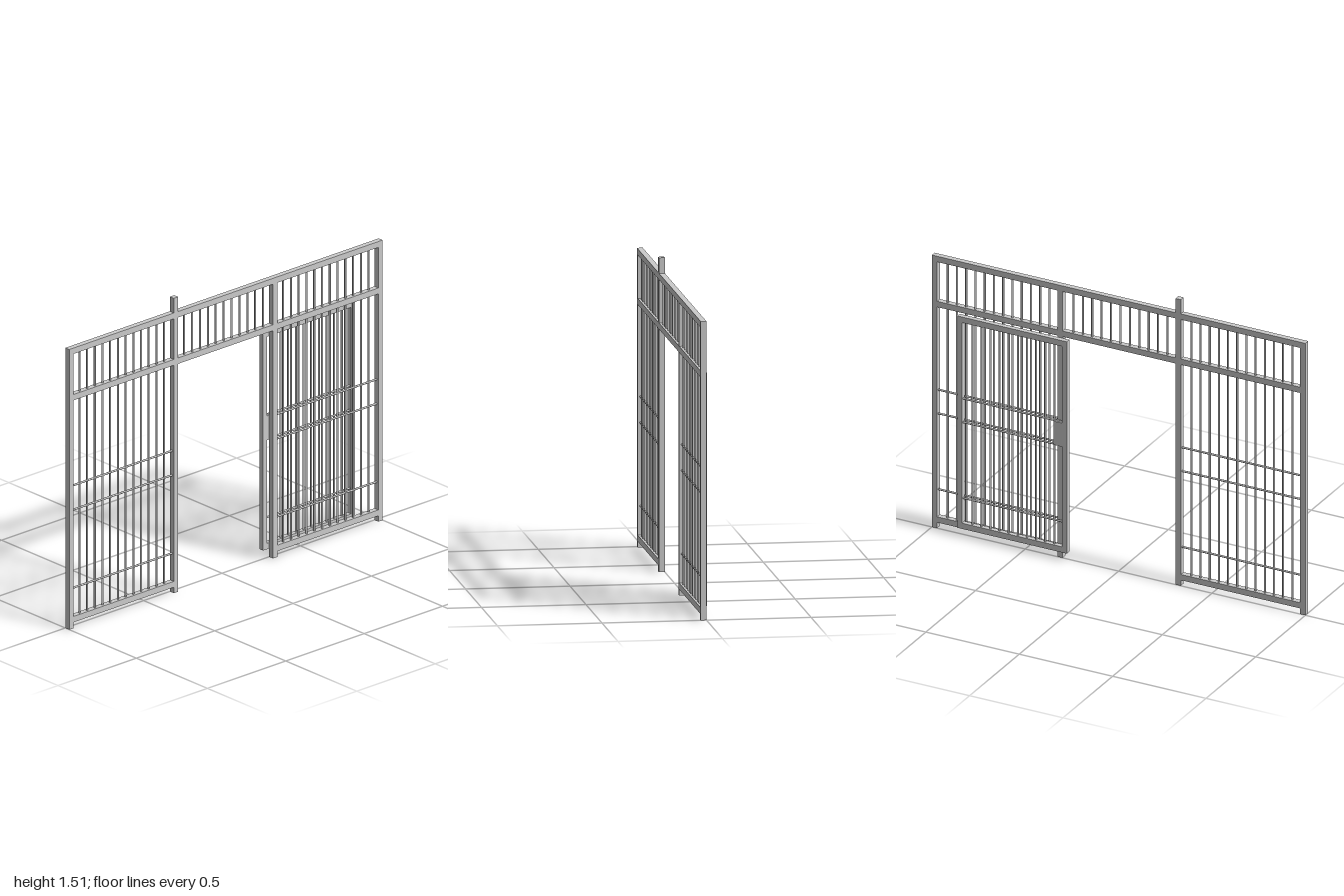
import * as THREE from 'three';

const material = new THREE.MeshStandardMaterial({ color: 0xcccccc });
const BAR = 0.01;

// Box given by its limits
function box(parent, name, x0, x1, y0, y1, z0, z1) {
  const mesh = new THREE.Mesh(new THREE.BoxGeometry(x1 - x0, y1 - y0, z1 - z0), material);
  mesh.name = name;
  mesh.position.set((x0 + x1) / 2, (y0 + y1) / 2, (z0 + z1) / 2);
  parent.add(mesh);
}

// Thin round rod between two points in a plane of constant z
function rod(parent, name, x0, y0, x1, y1, z) {
  const length = Math.hypot(x1 - x0, y1 - y0);
  const mesh = new THREE.Mesh(new THREE.CylinderGeometry(BAR / 2, BAR / 2, length, 10), material);
  mesh.name = name;
  mesh.position.set((x0 + x1) / 2, (y0 + y1) / 2, z);
  if (y0 === y1) mesh.rotation.z = Math.PI / 2;
  parent.add(mesh);
}

// Evenly spaced upright bars filling an opening
function uprights(parent, count, x0, x1, y0, y1, z) {
  for (let i = 1; i <= count; i++) {
    const x = x0 + ((x1 - x0) * i) / (count + 1);
    rod(parent, 'uprightBar', x, y0, x, y1, z);
  }
}

function crossBars(parent, x0, x1, z) {
  for (const y of [0.2, 0.6, 0.725]) rod(parent, 'crossBar', x0, y, x1, y, z);
}

export function createModel() {
  const model = new THREE.Group();
  model.name = 'barredGate';

  // Fixed frame
  const frame = new THREE.Group();
  frame.name = 'frame';
  model.add(frame);
  const back = 0, front = 0.028, mid = 0.014;
  box(frame, 'rightPost', -1, -0.972, 0, 1.405, back, front);
  box(frame, 'tallPost', -0.333, -0.305, 0, 1.51, back, front);
  box(frame, 'doorPost', 0.3, 0.328, 0, 1.405, back, front);
  box(frame, 'leftPost', 0.972, 1, 0, 1.405, back, front);
  box(frame, 'topRail', -1, -0.333, 1.405, 1.435, back, front);
  box(frame, 'topRail', -0.305, 1, 1.405, 1.435, back, front);

  // Three bays: upper bars everywhere, full panels at the two sides
  const bays = [[-0.972, -0.333, 12], [-0.305, 0.3, 11], [0.328, 0.972, 12]];
  bays.forEach(([x0, x1, count], i) => {
    box(frame, 'middleRail', x0, x1, 1.167, 1.197, back, front);
    uprights(frame, count, x0, x1, 1.197, 1.405, mid);
    if (i === 1) return;
    box(frame, 'bottomRail', x0, x1, 0.03, 0.06, back, front);
    uprights(frame, count, x0, x1, 0.06, 1.167, mid);
    crossBars(frame, x0, x1, mid);
  });

  // Sliding door, slid open behind the left panel
  const door = new THREE.Group();
  door.name = 'slidingDoor';
  model.add(door);
  const zb = -0.026, zf = -0.001, zm = -0.0135;
  box(door, 'doorStile', 0.263, 0.288, 0.042, 1.16, zb, zf);
  box(door, 'doorStile', 0.825, 0.85, 0.042, 1.16, zb, zf);
  box(door, 'doorTopRail', 0.288, 0.825, 1.13, 1.16, zb, zf);
  box(door, 'doorBottomRail', 0.288, 0.825, 0.042, 0.072, zb, zf);
  uprights(door, 10, 0.288, 0.825, 0.072, 1.13, zm);
  crossBars(door, 0.288, 0.825, zm);
  box(door, 'lockPlate', 0.288, 0.335, 0.6, 0.725, zb, zf);

  return model;
}
